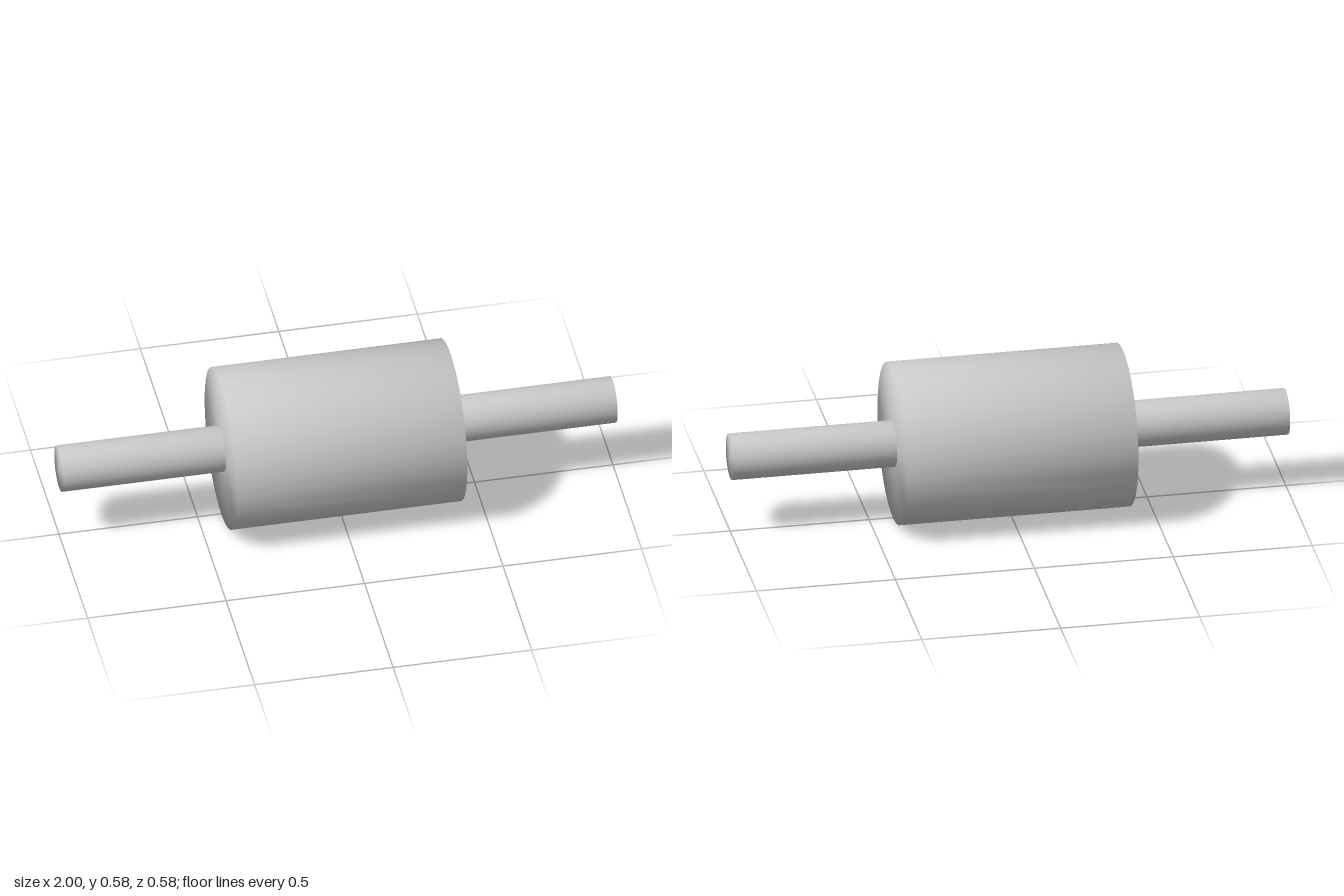
import * as THREE from 'three';
import { mergeVertices } from 'three/addons/utils/BufferGeometryUtils.js';

const AXIS_Y = 0.293;
const material = new THREE.MeshStandardMaterial({ color: 0xcccccc });

// Closed cylinder along x, with normals blended over its rims
function xCylinder(name, radius, length, sides, x) {
  let geometry = new THREE.CylinderGeometry(radius, radius, length, sides);
  geometry.deleteAttribute('normal');
  geometry.deleteAttribute('uv');
  geometry = mergeVertices(geometry, 1e-4);
  geometry.rotateZ(-Math.PI / 2);
  // put a corner at the very top
  geometry.computeVertexNormals();
  const mesh = new THREE.Mesh(geometry, material);
  mesh.name = name;
  mesh.position.set(x, AXIS_Y, 0);
  return mesh;
}

export function createModel() {
  const model = new THREE.Group();
  model.name = 'roller';

  // Thick central drum
  model.add(xCylinder('drum', 0.291, 0.829, 32, 0));

  // Thin axle stub on each end, meeting the drum's faces
  const inner = 0.412;
  for (const [name, side] of [['leftAxle', 1], ['rightAxle', -1]]) {
    model.add(xCylinder(name, 0.083, 1 - inner, 64, side * (1 + inner) / 2));
  }
  return model;
}
